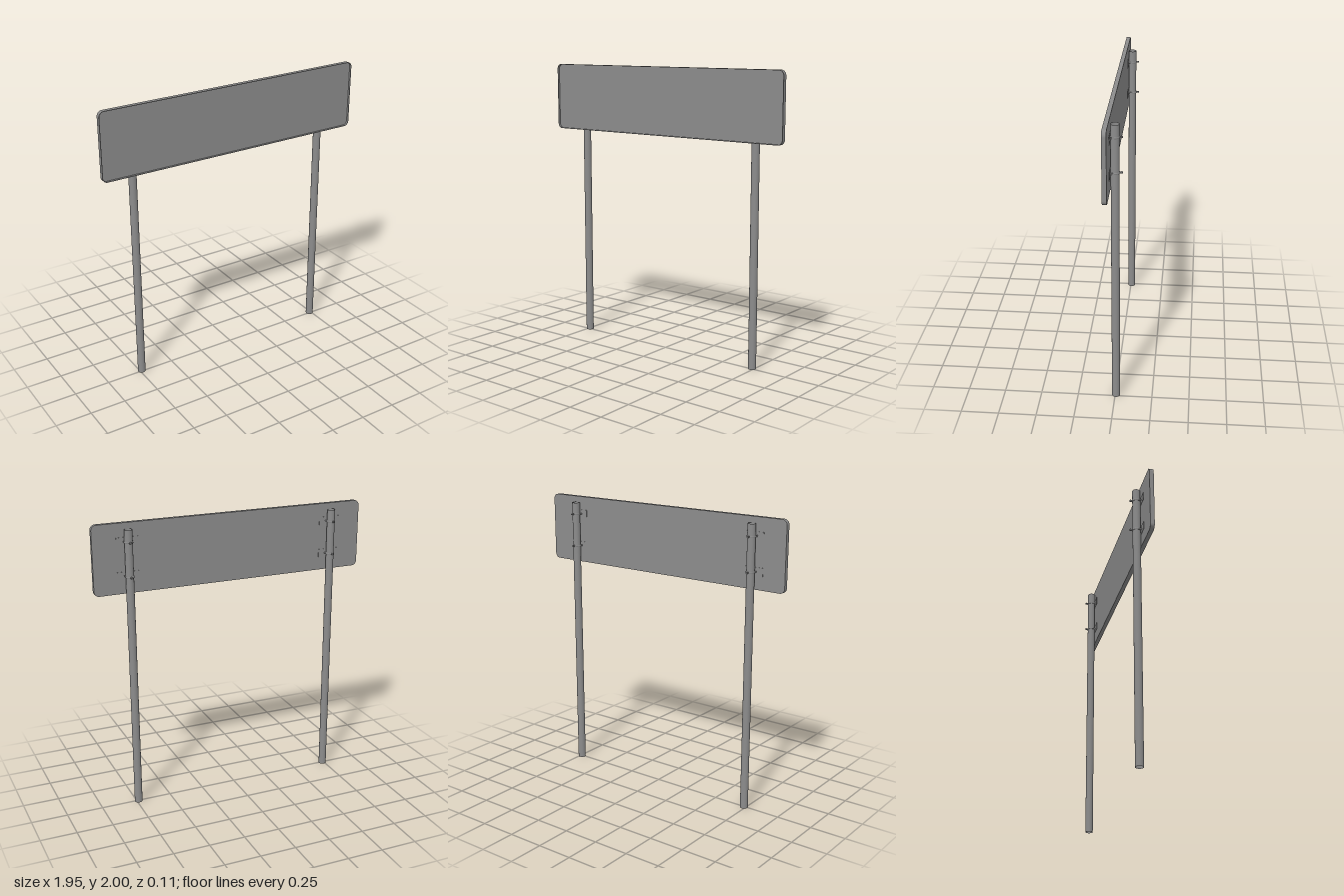
import * as THREE from 'three';

const POST_X = 0.737, POST_Z = -0.006, POST_R = 0.027, BACK_Z = 0.024;
const material = new THREE.MeshStandardMaterial({ color: 0x8c8c8c });
const openMaterial = new THREE.MeshStandardMaterial({ color: 0x8c8c8c, side: THREE.DoubleSide });

function add(parent, name, geometry, x, y, z, mat = material) {
  const mesh = new THREE.Mesh(geometry, mat);
  mesh.name = name;
  mesh.position.set(x, y, z);
  parent.add(mesh);
}

// Rectangle with rounded corners, centred on the origin
function roundedRect(w, h, r) {
  const s = new THREE.Shape();
  const x = w / 2 - r, y = h / 2 - r;
  s.absarc(x, y, r, 0, Math.PI / 2);
  s.absarc(-x, y, r, Math.PI / 2, Math.PI);
  s.absarc(-x, -y, r, Math.PI, Math.PI * 1.5);
  s.absarc(x, -y, r, Math.PI * 1.5, Math.PI * 2);
  s.closePath();
  return s;
}

function extrude(shape, depth) {
  return new THREE.ExtrudeGeometry(shape, { depth, bevelEnabled: false, curveSegments: 6 });
}

// Clamp holding the panel to one post; origin on the post axis
function createClamp() {
  const clamp = new THREE.Group();
  clamp.name = 'clamp';
  const depth = BACK_Z - POST_Z;

  // Flat plate against the back of the panel
  add(clamp, 'clampPlate', new THREE.BoxGeometry(0.15, 0.055, 0.003), 0, 0, depth - 0.001);

  // Band around the post: a small rectangle turned about the axis
  const section = [[0.026, -0.005], [0.03, -0.005], [0.03, 0.005], [0.026, 0.005]];
  const profile = section.map(([r, y]) => new THREE.Vector2(r, y));
  add(clamp, 'clampBand', new THREE.LatheGeometry(profile, 20), 0, 0, 0, openMaterial);

  // Side arms from the band to the plate
  for (const side of [-1, 1]) {
    add(clamp, 'clampArm', new THREE.BoxGeometry(0.003, 0.01, depth), side * (POST_R + 0.001), 0, depth / 2);
  }

  // Rear lug and cross bolt
  add(clamp, 'clampLug', new THREE.BoxGeometry(0.006, 0.01, 0.02), 0, 0, -0.037);
  const bolt = new THREE.CylinderGeometry(0.005, 0.005, 0.016, 8).rotateZ(Math.PI / 2);
  add(clamp, 'clampBolt', bolt, 0, 0, -0.042);
  return clamp;
}

export function createModel() {
  const model = new THREE.Group();
  model.name = 'signboard';

  // Panel sheet with a thin raised rim around its front
  const width = 1.946, height = 0.472, radius = 0.035, rim = 0.004;
  add(model, 'panel', extrude(roundedRect(width, height, radius), 0.014), 0, 1.764, BACK_Z);
  const frame = roundedRect(width, height, radius);
  frame.holes.push(roundedRect(width - 2 * rim, height - 2 * rim, radius - rim));
  add(model, 'panelRim', extrude(frame, 0.015), 0, 1.764, BACK_Z + 0.014);

  // Two open tube posts, each with two clamps
  for (const side of [-1, 1]) {
    const post = new THREE.CylinderGeometry(POST_R, POST_R, 1.96, 20, 1, true);
    add(model, 'post', post, side * POST_X, 0.98, POST_Z, openMaterial);
    for (const y of [1.648, 1.878]) {
      const clamp = createClamp();
      clamp.position.set(side * POST_X, y, POST_Z);
      model.add(clamp);
    }
  }
  return model;
}
